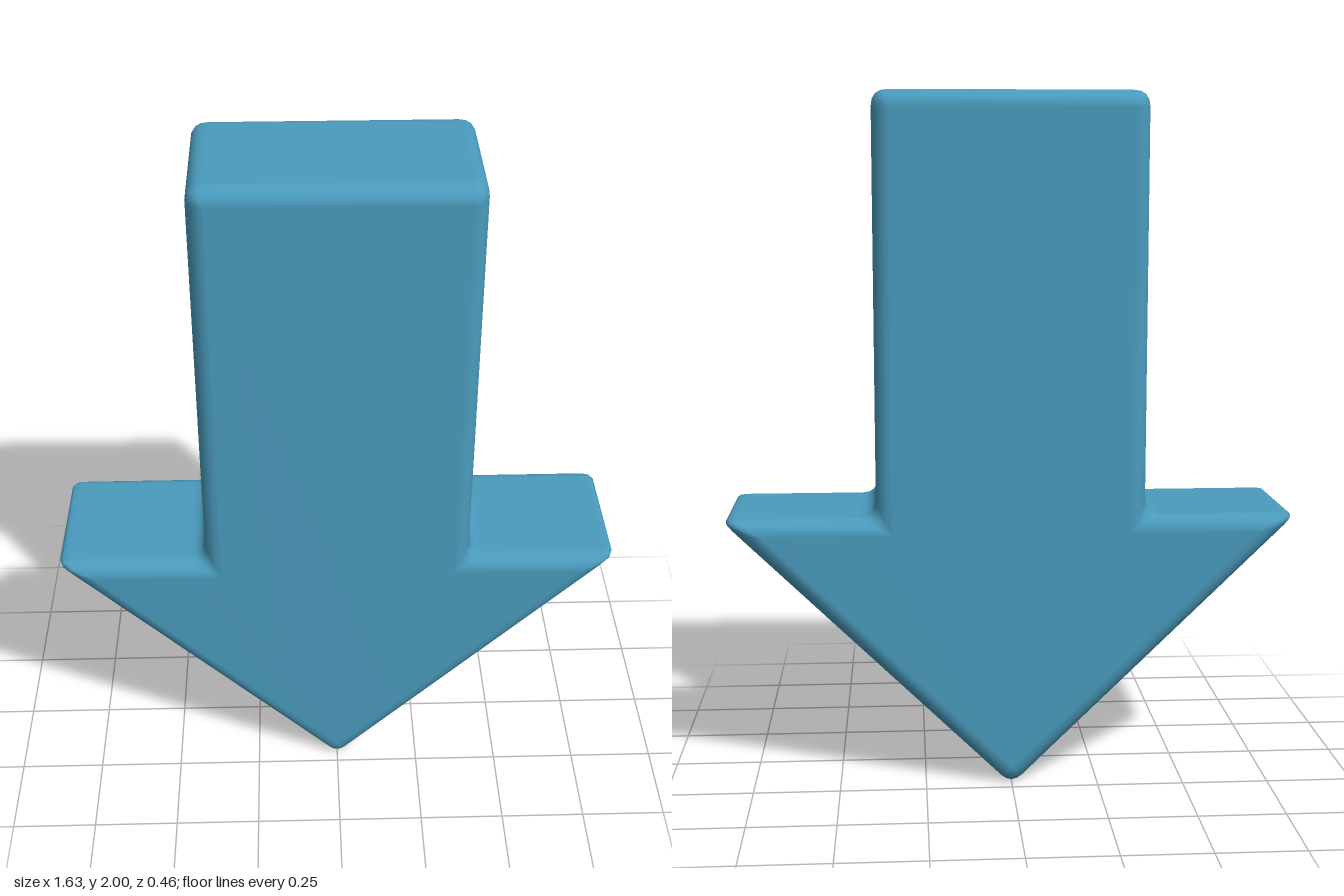
import * as THREE from 'three';
import { mergeVertices } from 'three/addons/utils/BufferGeometryUtils.js';

const HALF_DEPTH = 0.23;
const BEVEL = 0.05;
const ARC = 4; // segments in each rounded corner and edge

// Sharp arrow outline, counter-clockwise, pointing down
const half = [[0.835, 0.8], [0.388, 0.8], [0.388, 2]];
const corners = [
  [0, -0.012],
  ...half,
  ...half.map(([x, y]) => [-x, y]).reverse(),
].map(([x, y]) => new THREE.Vector2(x, y));

// Each corner gives one sharp inset point for the face and a rounded arc for the rim
function cornerData(p, i) {
  const n = corners.length;
  const toPrev = corners[(i + n - 1) % n].clone().sub(p).normalize();
  const toNext = corners[(i + 1) % n].clone().sub(p).normalize();
  const sine = toNext.cross(toPrev);
  const inset = p.clone().addScaledVector(toPrev.clone().add(toNext), BEVEL / sine);
  const curve = new THREE.QuadraticBezierCurve(
    p.clone().addScaledVector(toPrev, 0.047), p, p.clone().addScaledVector(toNext, 0.047));
  return { inset, arc: curve.getPoints(ARC) };
}

function roundedArrow() {
  const data = corners.map(cornerData);
  const perRing = data.length * (ARC + 1);
  const positions = [];
  const index = [];

  // Rings from the front face, round the bevel, to the back face
  const addRing = (spread, z) => {
    for (const { inset, arc } of data) {
      for (const q of arc) {
        const v = inset.clone().lerp(q, spread);
        positions.push(v.x, v.y, z);
      }
    }
  };
  for (const side of [1, -1]) {
    for (let k = 0; k <= ARC; k++) {
      const a = ((side > 0 ? k : ARC - k) / ARC) * Math.PI / 2;
      addRing(Math.sin(a), side * (HALF_DEPTH - BEVEL * (1 - Math.cos(a))));
    }
  }
  const rings = 2 * (ARC + 1);
  for (let j = 0; j < rings - 1; j++) {
    for (let i = 0; i < perRing; i++) {
      const a = j * perRing + i;
      const d = j * perRing + (i + 1) % perRing;
      index.push(a, a + perRing, d + perRing, a, d + perRing, d);
    }
  }

  // Front and back faces
  const back = (rings - 1) * perRing;
  for (const tri of THREE.ShapeUtils.triangulateShape(data.map((c) => c.inset), [])) {
    const [a, b, c] = tri.map((t) => t * (ARC + 1));
    index.push(a, b, c, back + c, back + b, back + a);
  }

  const raw = new THREE.BufferGeometry();
  raw.setAttribute('position', new THREE.Float32BufferAttribute(positions, 3));
  raw.setIndex(index);
  const geometry = mergeVertices(raw, 1e-5);
  geometry.computeVertexNormals();
  return geometry;
}

export function createModel() {
  const group = new THREE.Group();
  group.name = 'downArrow';
  const blue = new THREE.MeshStandardMaterial({ color: 0x4a9bbd });
  blue.name = 'blue';
  const arrow = new THREE.Mesh(roundedArrow(), blue);
  arrow.name = 'arrowBody';
  group.add(arrow);
  return group;
}
